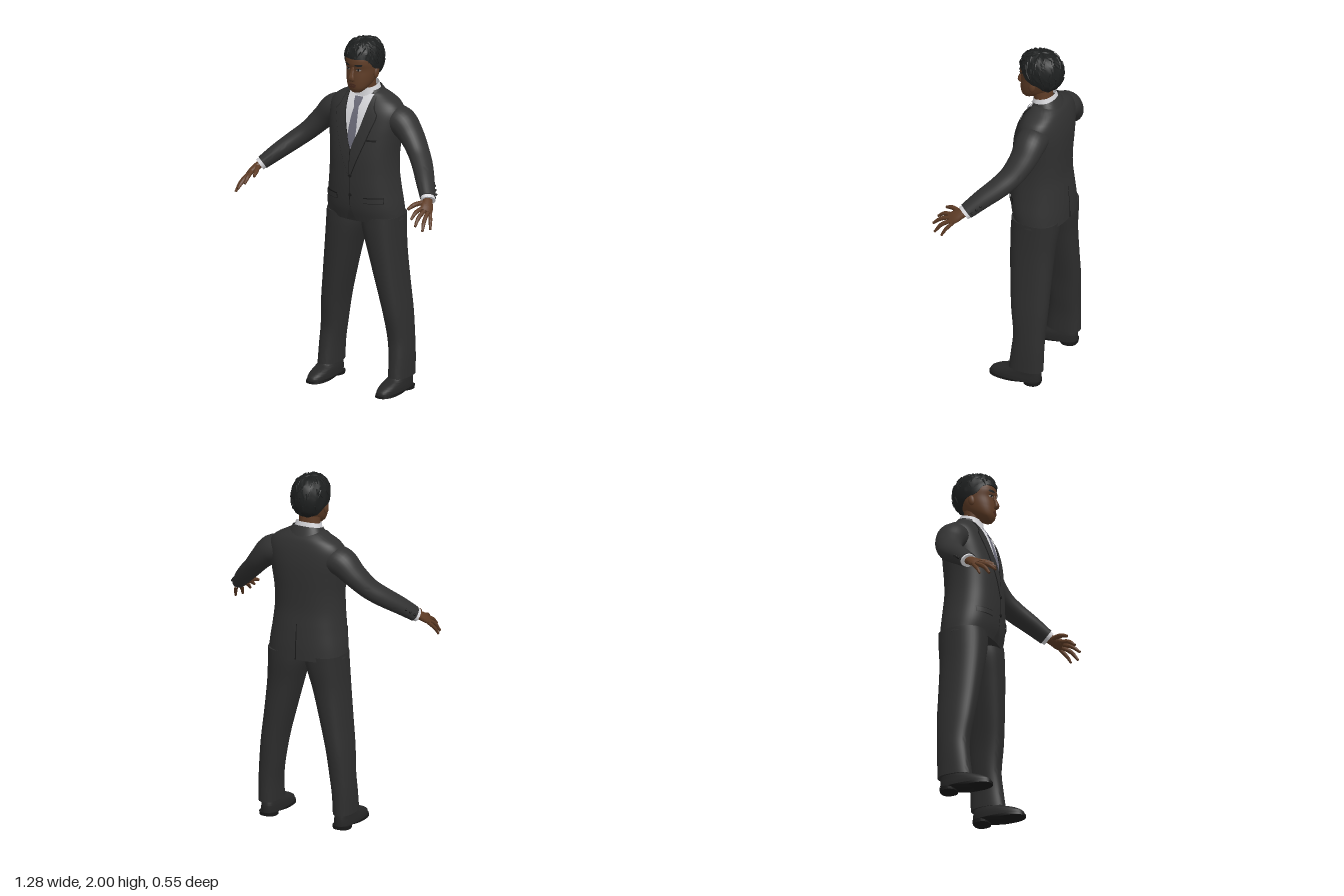
import * as THREE from 'three';
import { toCreasedNormals } from 'three/addons/utils/BufferGeometryUtils.js';

const V = (x, y, z) => new THREE.Vector3(x, y, z);

// Smooth interpolation of rows keyed by their first number
function sample(rows, k) {
  const last = rows.length - 1;
  let i = 0;
  while (i < last - 1 && k > rows[i + 1][0]) i++;
  const A = rows[i], B = rows[i + 1], h = B[0] - A[0];
  const t = Math.min(1, Math.max(0, (k - A[0]) / h));
  const slope = (j, c) => {
    const p = rows[Math.max(0, j - 1)], n = rows[Math.min(last, j + 1)];
    return (n[c] - p[c]) / (n[0] - p[0]);
  };
  const t2 = t * t, t3 = t2 * t;
  return A.map((a, c) => c === 0 ? k :
    (2 * t3 - 3 * t2 + 1) * a + (t3 - 2 * t2 + t) * h * slope(i, c) +
    (3 * t2 - 2 * t3) * B[c] + (t3 - t2) * h * slope(i + 1, c));
}

// Surface through a list of point rings, with optional end caps
function skin(rings, caps = true, crease = 0.9) {
  const pos = [], idx = [], m = rings[0].length;
  rings.forEach(r => r.forEach(p => pos.push(p.x, p.y, p.z)));
  for (let i = 0; i < rings.length - 1; i++) for (let j = 0; j < m - 1; j++) {
    const a = i * m + j, c = a + m;
    idx.push(a, a + 1, c, a + 1, c + 1, c);
  }
  if (caps) [0, rings.length - 1].forEach(i => {
    const mid = V(0, 0, 0), o = pos.length / 3;
    for (let j = 0; j < m - 1; j++) mid.addScaledVector(rings[i][j], 1 / (m - 1));
    pos.push(mid.x, mid.y, mid.z);
    for (let j = 0; j < m - 1; j++) {
      const a = i * m + j;
      idx.push(o, i ? a : a + 1, i ? a + 1 : a);
    }
  });
  const g = new THREE.BufferGeometry();
  g.setAttribute('position', new THREE.Float32BufferAttribute(pos, 3));
  g.setIndex(idx);
  return toCreasedNormals(g, crease);
}

// Upright body from rows [y, centreX, halfWidth, zFront, zBack]
function loft(rows, { n = 2.4, steps = 30, seg = 40, tilt = 0, arc = [0, Math.PI * 2], caps = true } = {}) {
  const rings = [], y0 = rows[0][0], y1 = rows[rows.length - 1][0];
  const pw = v => Math.sign(v) * Math.abs(v) ** (2 / n);
  for (let i = 0; i <= steps; i++) {
    const [y, cx, w, zf, zb] = sample(rows, y0 + (y1 - y0) * i / steps), ring = [];
    for (let j = 0; j <= seg; j++) {
      const a = arc[0] + (arc[1] - arc[0]) * j / seg, dz = pw(Math.cos(a)) * (zf - zb) / 2;
      ring.push(V(cx + w * pw(Math.sin(a)), y + tilt * dz, (zf + zb) / 2 + dz));
    }
    rings.push(ring);
  }
  return skin(rings, caps);
}

// Thin panel lying on a body; rows [y, xStart, xEnd]
function panel(rows, body, lift, { n = 2.4, back = false, steps = 16 } = {}) {
  const rings = [], y0 = rows[0][0], y1 = rows[rows.length - 1][0];
  for (let i = 0; i <= steps; i++) {
    const y = y0 + (y1 - y0) * i / steps, [, l, r] = sample(rows, y), [, , w, zf, zb] = sample(body, y), ring = [];
    for (let j = 0; j <= 8; j++) {
      const x = l + (r - l) * j / 8;
      const d = (zf - zb) / 2 * Math.max(0, 1 - Math.abs(x / w) ** n) ** (1 / n) + lift;
      ring.push(V(back ? -x : x, y, (zf + zb) / 2 + (back ? -d : d)));
    }
    rings.push(ring);
  }
  return skin(rings, false);
}

// Limb along points [x, y, z, thickness, breadth]; breadth follows ref
function limb(pts, ref = V(0, 0, 1), steps = 24, seg = 20) {
  const rows = pts.map((p, i) => [i, ...p]), end = pts.length - 1, rings = [];
  const at = k => { const s = sample(rows, k); return V(s[1], s[2], s[3]); };
  for (let i = 0; i <= steps; i++) {
    const k = end * i / steps, s = sample(rows, k), c = at(k), ring = [];
    const t = at(Math.min(end, k + 0.02)).sub(at(Math.max(0, k - 0.02))).normalize();
    const n1 = ref.clone().addScaledVector(t, -ref.dot(t)).normalize(), n2 = t.clone().cross(n1);
    for (let j = 0; j <= seg; j++) {
      const a = Math.PI * 2 * j / seg;
      ring.push(c.clone().addScaledVector(n1, Math.cos(a) * s[5]).addScaledVector(n2, Math.sin(a) * s[4]));
    }
    rings.push(ring);
  }
  return skin(rings);
}

export function createModel() {
  const root = new THREE.Group();
  const mat = (name, color) => Object.assign(new THREE.MeshStandardMaterial({ color, side: THREE.DoubleSide }), { name });
  const suit = mat('suit', 0x313131), trousers = mat('trousers', 0x2e2e2e), shirt = mat('shirt', 0xd6d6da),
    tie = mat('tie', 0x6c6c7a), skinTone = mat('skin', 0x5e3c26), hair = mat('hair', 0x1d1f1f),
    leather = mat('shoe leather', 0x272727), trim = mat('dark trim', 0x1a1a1a),
    lips = mat('lips', 0x4c2c20), eyeWhite = mat('eye white', 0x8c8078);
  const add = (name, geo, m) => {
    const mesh = new THREE.Mesh(geo, m);
    mesh.name = name;
    root.add(mesh);
    return mesh;
  };

  // Jacket body
  const torso = [[0.975, 0, 0.225, 0.02, -0.272], [1.05, 0, 0.22, 0.04, -0.27], [1.15, 0, 0.206, 0.048, -0.262],
    [1.25, 0, 0.197, 0.048, -0.253], [1.35, 0, 0.198, 0.044, -0.255], [1.45, 0, 0.21, 0.028, -0.26],
    [1.53, 0, 0.222, 0.008, -0.26], [1.6, 0, 0.222, -0.016, -0.252], [1.645, 0, 0.192, -0.04, -0.24],
    [1.672, 0, 0.145, -0.058, -0.228], [1.7, 0, 0.095, -0.075, -0.2]];
  add('jacket', loft(torso, { steps: 50, seg: 64 }), suit);
  add('jacketCollar', loft([[1.655, 0, 0.115, -0.04, -0.225], [1.69, 0, 0.098, -0.055, -0.206], [1.715, 0, 0.084, -0.065, -0.19]],
    { tilt: -0.2, arc: [0.9, Math.PI * 2 - 0.9], caps: false, steps: 8 }), suit);

  // Shirt front, shirt collar and tie
  add('shirtFront', panel([[1.39, 0, 0], [1.5, -0.04, 0.04], [1.6, -0.066, 0.066], [1.69, -0.078, 0.078]], torso, 0.002), shirt);
  add('shirtCollar', loft([[1.665, 0, 0.086, -0.052, -0.195], [1.7, 0, 0.078, -0.058, -0.187], [1.735, 0, 0.07, -0.062, -0.178]],
    { tilt: -0.25, caps: false, steps: 8 }), shirt);
  add('tieBlade', panel([[1.395, -0.002, 0.002], [1.46, -0.024, 0.024], [1.55, -0.022, 0.022], [1.625, -0.014, 0.014]], torso, 0.005), tie);
  add('tieKnot', panel([[1.62, -0.015, 0.015], [1.64, -0.022, 0.022], [1.672, -0.026, 0.026]], torso, 0.009), tie);

  // Jacket front edge, cutaway, buttons and back vent
  add('frontEdge', panel([[1.06, -0.002, 0.002], [1.39, -0.002, 0.002]], torso, 0.002), trim);
  add('cutaway', panel([[0.976, -0.035, 0.03], [1.02, -0.016, 0.014], [1.07, 0, 0]], torso, 0.003), trousers);
  add('backVent', panel([[0.976, -0.004, 0.004], [1.18, -0.002, 0.002]], torso, 0.002, { back: true }), trim);
  for (const y of [1.13, 1.24]) {
    const b = add('button', new THREE.CylinderGeometry(0.009, 0.009, 0.006, 16), trim);
    b.rotation.x = Math.PI / 2;
    b.position.set(0.005, y, sample(torso, y)[3] + 0.004);
  }
  add('breastPocket', panel([[1.445, 0.085, 0.145], [1.455, 0.085, 0.145]], torso, 0.002, { steps: 2 }), trim);

  // Head and neck
  const head = [[1.708, 0, 0.028, 0.002, -0.05], [1.73, 0, 0.052, 0.014, -0.09], [1.76, 0, 0.069, 0.018, -0.14],
    [1.8, 0, 0.08, 0.017, -0.175], [1.84, 0, 0.086, 0.014, -0.2], [1.875, 0, 0.088, 0.022, -0.205],
    [1.91, 0, 0.086, 0.017, -0.205], [1.95, 0, 0.072, -0.005, -0.19], [1.98, 0, 0.035, -0.06, -0.14]];
  add('head', loft(head, { n: 2.2 }), skinTone);
  add('neck', loft([[1.64, 0, 0.064, -0.065, -0.175], [1.72, 0, 0.06, -0.062, -0.165], [1.79, 0, 0.062, -0.04, -0.16]], { n: 2 }), skinTone);
  add('nose', limb([[0, 1.86, 0.012, 0.006, 0.008], [0, 1.825, 0.022, 0.009, 0.011], [0, 1.795, 0.03, 0.013, 0.017],
    [0, 1.78, 0.018, 0.008, 0.015]], V(1, 0, 0)), skinTone);
  const face = (name, rows, lift, m) => add(name, panel(rows, head, lift, { n: 2.2, steps: 6 }), m);
  face('upperLip', [[1.752, -0.026, 0.026], [1.757, -0.02, 0.02], [1.763, -0.008, 0.008]], 0.003, lips);
  face('lowerLip', [[1.74, -0.01, 0.01], [1.745, -0.02, 0.02], [1.751, -0.025, 0.025]], 0.004, lips);

  // Hair cap with an uneven surface and short locks
  let seed = 7;
  const rnd = () => (seed = (seed * 16807) % 2147483647) / 2147483647;
  const hairline = [[0, 1.905], [0.8, 1.9], [1.2, 1.85], [1.7, 1.83], [2.2, 1.79], [3.2, 1.765]];
  const scalp = (az, th, k) => {
    const r = Math.sin(th) ** 0.65 * k;
    return V(0.102 * r * Math.sin(az), 1.88 + 0.115 * Math.cos(th) * k, -0.1 + 0.127 * r * Math.cos(az));
  };
  const thetaMax = az => Math.acos((sample(hairline, Math.abs(az))[1] - 1.88) / 0.115);
  const rings = [];
  for (let i = 16; i >= 0; i--) {
    const ring = [];
    for (let j = 0; j < 44; j++) {
      const az = j / 44 * Math.PI * 2 - Math.PI, th = thetaMax(az) * Math.max(0.03, Math.min(1, i / 15));
      ring.push(scalp(az, th, i === 16 ? 0.82 : 1 + 0.015 * Math.sin(az * 11 + th * 5) + 0.025 * (rnd() - 0.5)));
    }
    ring.push(ring[0].clone());
    rings.push(ring);
  }
  add('hair', skin(rings, true, 0.35), hair);
  for (let i = 0; i < 70; i++) {
    const az = (rnd() * 2 - 1) * 3.1, th = thetaMax(az) * (0.15 + 0.6 * rnd()), turn = (rnd() - 0.5) * 0.5;
    const p = [0, 0.5, 1].map(t => [...scalp(az + turn * t, th + 0.32 * t, 1.01 + 0.012 * t).toArray(), 0.005 - 0.003 * t, 0.007 - 0.005 * t]);
    add('hairLock', limb(p, V(0.3, 0.2, 0.9), 4, 5), hair);
  }

  for (const s of [-1, 1]) {
    const side = s < 0 ? 'right' : 'left';
    const mx = pts => pts.map(([x, ...r]) => [s * x, ...r]);
    const strip = rows => rows.map(([y, a, b]) => s > 0 ? [y, a, b] : [y, -b, -a]);

    // Eyes, brows and ears
    face(side + 'Brow', strip([[1.866, 0.016, 0.05], [1.872, 0.016, 0.056], [1.878, 0.03, 0.052]]), 0.004, hair);
    face(side + 'EyeWhite', strip([[1.838, 0.026, 0.042], [1.843, 0.02, 0.048], [1.849, 0.026, 0.042]]), 0.002, eyeWhite);
    face(side + 'Iris', strip([[1.838, 0.03, 0.038], [1.849, 0.03, 0.038]]), 0.004, trim);
    face(side + 'EyeLid', strip([[1.848, 0.018, 0.05], [1.852, 0.022, 0.046]]), 0.004, trim);
    const ear = add(side + 'Ear', new THREE.SphereGeometry(1, 16, 12), skinTone);
    ear.scale.set(0.012, 0.032, 0.019);
    ear.position.set(s * 0.088, 1.815, -0.085);
    ear.rotation.x = -0.2;

    // Lapel with a dark edge below it, and hip pocket
    const lapel = [[1.24, 0.001, 0.006], [1.4, 0.007, 0.07], [1.5, 0.041, 0.105], [1.59, 0.064, 0.13], [1.615, 0.068, 0.11], [1.68, 0.078, 0.092]];
    add(side + 'LapelEdge', panel(strip(lapel.map(([y, a, b]) => [y, a - 0.002, b + 0.004])), torso, 0.003, { steps: 30 }), trim);
    add(side + 'Lapel', panel(strip(lapel), torso, 0.007, { steps: 30 }), suit);
    add(side + 'PocketLine', panel(strip([[1.09, 0.085, 0.185], [1.125, 0.085, 0.185]]), torso, 0.003), trim);
    add(side + 'PocketFlap', panel(strip([[1.094, 0.086, 0.184], [1.12, 0.086, 0.184]]), torso, 0.007), suit);

    // Sleeve, shirt cuff and cuff buttons
    add(side + 'Sleeve', limb(mx([[0.15, 1.555, -0.14, 0.078, 0.085], [0.22, 1.54, -0.14, 0.08, 0.088], [0.29, 1.475, -0.13, 0.064, 0.078],
      [0.36, 1.4, -0.095, 0.054, 0.068], [0.42, 1.345, -0.045, 0.051, 0.062], [0.485, 1.285, 0.025, 0.046, 0.055],
      [0.545, 1.225, 0.09, 0.038, 0.047]]), undefined, 36, 28), suit);
    add(side + 'ShirtCuff', limb(mx([[0.535, 1.235, 0.08, 0.035, 0.043], [0.556, 1.214, 0.102, 0.034, 0.042]]), undefined, 3), shirt);
    for (let i = 0; i < 3; i++) {
      const b = add('cuffButton', new THREE.SphereGeometry(0.007, 10, 8), trim);
      b.position.set(s * (0.57 - i * 0.017), 1.236 + i * 0.017, 0.045 - i * 0.018);
    }

    // Hand
    const across = V(s * -0.045, 0.035, 0.035);
    add(side + 'Palm', limb(mx([[0.54, 1.228, 0.085, 0.023, 0.027], [0.56, 1.21, 0.115, 0.021, 0.03],
      [0.575, 1.19, 0.145, 0.019, 0.037], [0.586, 1.173, 0.172, 0.013, 0.036]]), across), skinTone);
    const fingers = [['Thumb', [0.553, 1.212, 0.12], [0.522, 1.207, 0.185], [0.507, 1.19, 0.23], 0.013],
      ['Index', [0.564, 1.193, 0.165], [0.553, 1.178, 0.22], [0.549, 1.148, 0.26], 0.0115],
      ['Middle', [0.578, 1.183, 0.165], [0.578, 1.155, 0.23], [0.584, 1.117, 0.275], 0.0115],
      ['Ring', [0.592, 1.171, 0.16], [0.604, 1.135, 0.215], [0.616, 1.087, 0.25], 0.0115],
      ['Little', [0.6, 1.162, 0.148], [0.622, 1.125, 0.18], [0.634, 1.087, 0.2], 0.01]];
    for (const [name, a, b, c, r] of fingers)
      add(side + name, limb(mx([[...a, r, r], [...b, r, r], [...c, r * 0.6, r * 0.6]]), across, 10, 12), skinTone);

    // Trouser leg and shoe
    const lx = rows => rows.map(([y, x, ...r]) => [y, s * x, ...r]);
    add(side + 'TrouserLeg', loft(lx([[0.085, 0.232, 0.055, -0.02, -0.22], [0.2, 0.229, 0.057, -0.035, -0.222], [0.3, 0.22, 0.061, -0.042, -0.225],
      [0.45, 0.203, 0.066, -0.022, -0.234], [0.6, 0.177, 0.075, -0.006, -0.237], [0.8, 0.141, 0.092, 0.01, -0.242],
      [0.93, 0.118, 0.108, 0.015, -0.255], [1.0, 0.112, 0.112, 0.012, -0.258]]), { steps: 40 }), trousers);
    add(side + 'Shoe', loft(lx([[0.018, 0.228, 0.056, 0.096, -0.205], [0.04, 0.228, 0.056, 0.088, -0.206], [0.062, 0.228, 0.053, 0.05, -0.205],
      [0.085, 0.23, 0.048, -0.015, -0.2], [0.12, 0.231, 0.044, -0.05, -0.195]])), leather);
    add(side + 'Sole', loft(lx([[0.006, 0.228, 0.057, 0.1, -0.11], [0.02, 0.228, 0.059, 0.101, -0.209]]), { steps: 2 }), trim);
    add(side + 'Heel', loft(lx([[0, 0.229, 0.05, -0.11, -0.205], [0.02, 0.229, 0.052, -0.105, -0.208]]), { steps: 2 }), trim);
  }
  return root;
}
